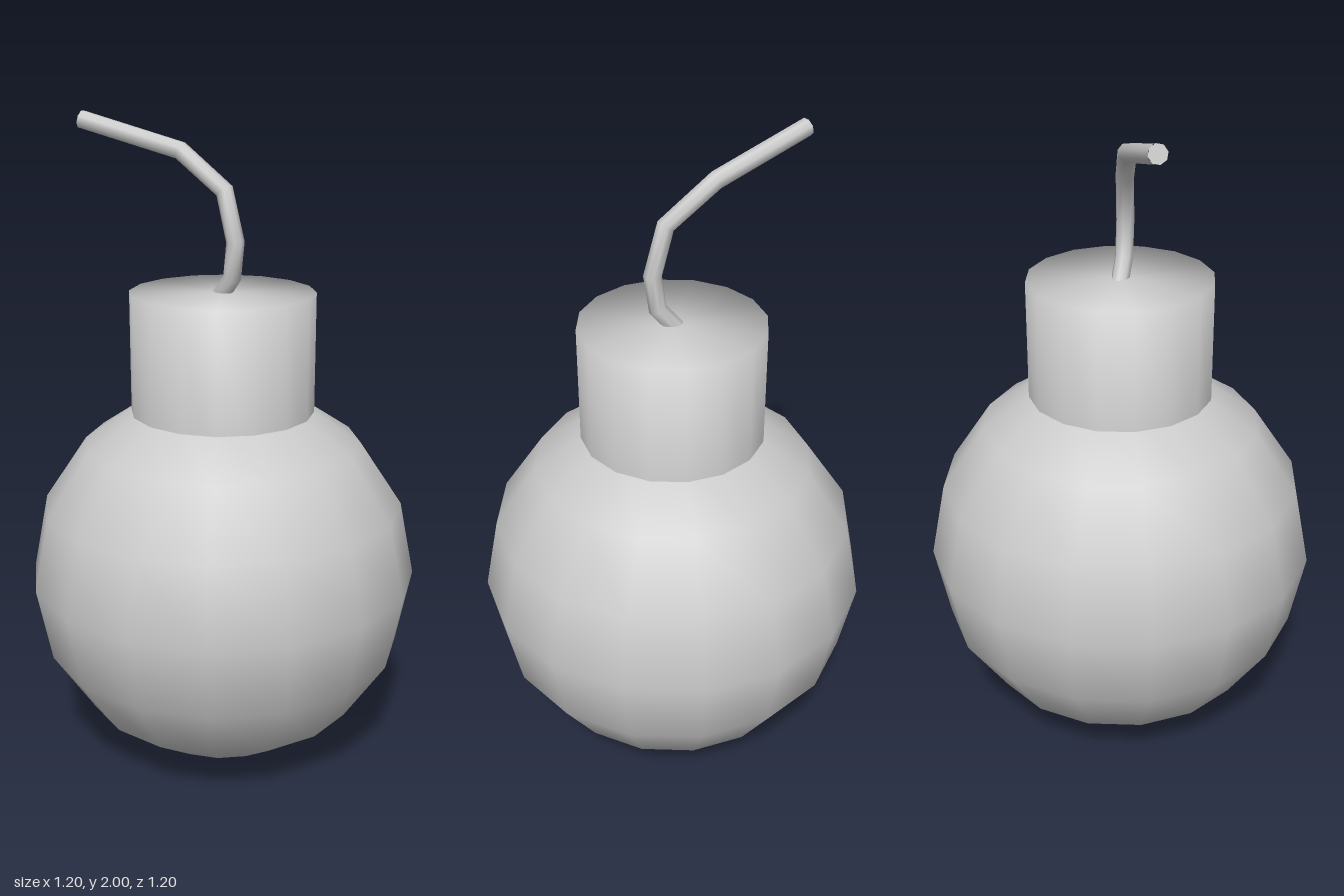
import * as THREE from 'three';

const material = new THREE.MeshStandardMaterial({ color: 0xcccccc });

// Curve that visits each point once, so the tube bends only at the given joints
class JointedPath extends THREE.Curve {
  constructor(points) {
    super();
    this.points = points;
  }
  index(u) {
    return Math.round(u * (this.points.length - 1));
  }
  getPointAt(u, target = new THREE.Vector3()) {
    return target.copy(this.points[this.index(u)]);
  }
  getTangentAt(u, target = new THREE.Vector3()) {
    const p = this.points;
    const i = this.index(u);
    target.set(0, 0, 0);
    if (i > 0) target.add(p[i].clone().sub(p[i - 1]).normalize());
    if (i < p.length - 1) target.add(p[i + 1].clone().sub(p[i]).normalize());
    return target.normalize();
  }
}

function addPart(parent, name, geometry) {
  const mesh = new THREE.Mesh(geometry, material);
  mesh.name = name;
  parent.add(mesh);
  return mesh;
}

export function createModel() {
  const model = new THREE.Group();
  model.name = 'roundBomb';

  // Round body
  addPart(model, 'body', new THREE.SphereGeometry(0.6, 16, 8)).position.y = 0.6;

  // Neck with a flat top, shaded smoothly over the rim
  const neckProfile = [[0.28, 1.0], [0.28, 1.487], [0, 1.487]]
    .map(([r, y]) => new THREE.Vector2(r, y));
  addPart(model, 'neck', new THREE.LatheGeometry(neckProfile, 16));

  // Bent fuse leaning to the back right
  const fuse = new THREE.Group();
  fuse.name = 'fuse';
  model.add(fuse);
  const points = [
    [0, 1.46, -0.02],
    [0, 1.535, 0.043],
    [0, 1.64, 0.057],
    [-0.008, 1.785, 0.018],
    [-0.05, 1.892, -0.13],
    [-0.197, 1.974, -0.418],
  ].map((p) => new THREE.Vector3(...p));
  const path = new JointedPath(points);
  addPart(fuse, 'fuseCord', new THREE.TubeGeometry(path, points.length - 1, 0.027, 8));

  // Cap closing the fuse tip
  const tip = addPart(fuse, 'fuseTip', new THREE.CircleGeometry(0.027, 8));
  tip.position.copy(points.at(-1));
  tip.quaternion.setFromUnitVectors(new THREE.Vector3(0, 0, 1), path.getTangentAt(1));

  return model;
}
